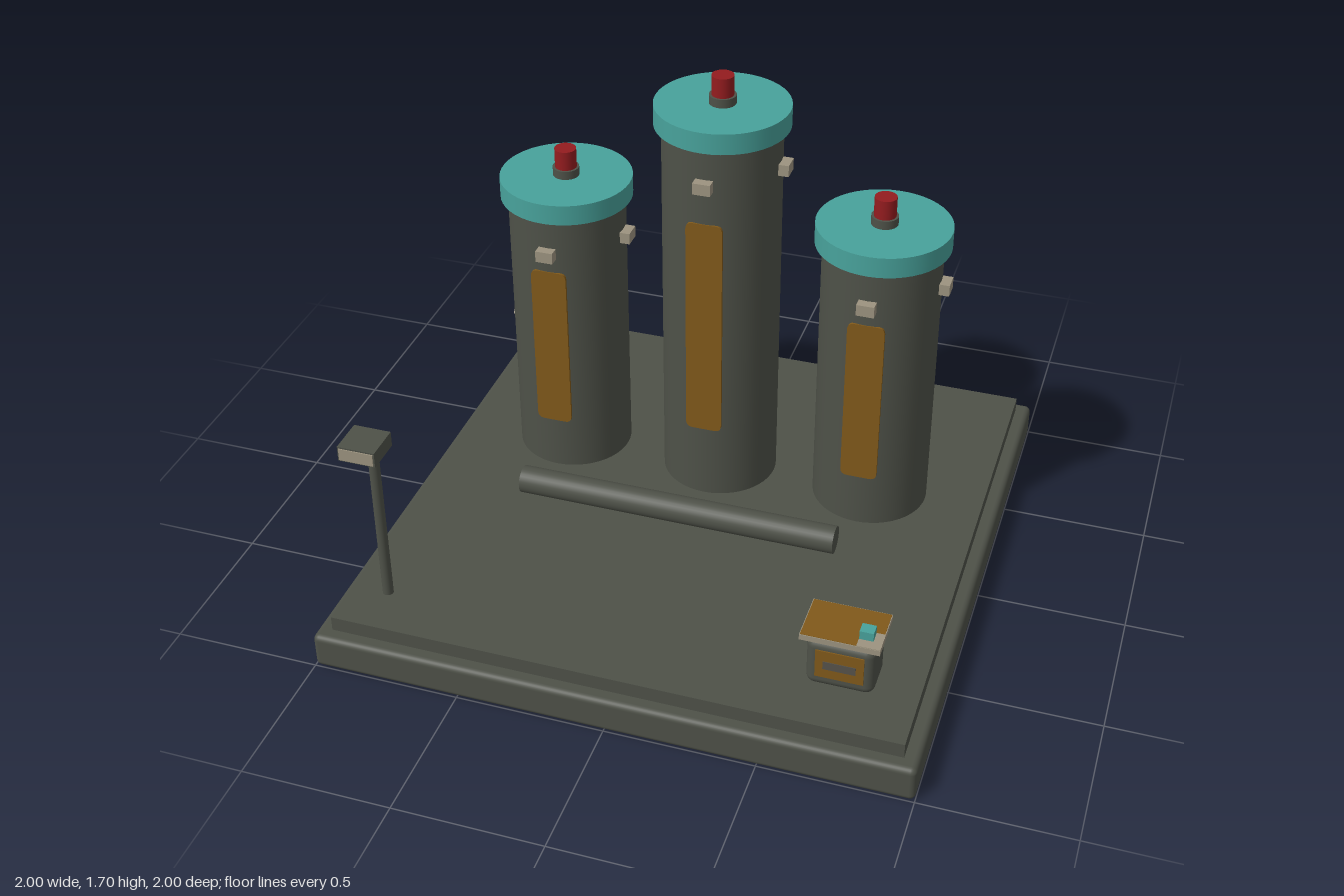
import * as THREE from 'three';
import { RoundedBoxGeometry } from 'three/addons/geometries/RoundedBoxGeometry.js';

const mat = (name, color) => new THREE.MeshStandardMaterial({ name, color });

export function createModel() {
  const grey = mat('dark grey', 0x4e5148);
  const teal = mat('teal', 0x48a29b);
  const red = mat('red', 0x941c1f);
  const gold = mat('ochre', 0x80591a);
  const beige = mat('beige', 0x9c937f);
  const slotGrey = mat('slot grey', 0x56524a);

  const model = new THREE.Group();
  model.name = 'towerStation';

  const add = (parent, name, geometry, material, x, y, z) => {
    const mesh = new THREE.Mesh(geometry, material);
    mesh.name = name;
    mesh.position.set(x, y, z);
    parent.add(mesh);
    return mesh;
  };
  const box = (w, h, d) => new THREE.BoxGeometry(w, h, d);
  const cyl = (r, h, n = 48) => new THREE.CylinderGeometry(r, r, h, n);

  // Thin upright plate with rounded corners, centred in x and y
  const roundedPlate = (w, h, r, depth) => {
    const a = w / 2, b = h / 2;
    const s = new THREE.Shape();
    s.moveTo(-a + r, -b);
    s.lineTo(a - r, -b).quadraticCurveTo(a, -b, a, -b + r);
    s.lineTo(a, b - r).quadraticCurveTo(a, b, a - r, b);
    s.lineTo(-a + r, b).quadraticCurveTo(-a, b, -a, b - r);
    s.lineTo(-a, -b + r).quadraticCurveTo(-a, -b, -a + r, -b);
    return new THREE.ExtrudeGeometry(s, { depth, bevelEnabled: false, curveSegments: 6 });
  };

  // Two-step base
  add(model, 'base', new RoundedBoxGeometry(2, 0.125, 2, 3, 0.02), grey, 0, 0.0625, 0);
  add(model, 'baseDeck', box(1.9, 0.06, 1.9), grey, 0, 0.147, 0);

  // Towers with cap, beacon, window strip and lamps
  const floor = 0.175;
  const makeTower = (name, x, bodyTop, windowBottom, windowTop) => {
    const tower = new THREE.Group();
    tower.name = name;
    tower.position.set(x, 0, -0.25);
    add(tower, 'towerBody', cyl(0.2, bodyTop - floor), grey, 0, (bodyTop + floor) / 2, 0);
    add(tower, 'towerCap', cyl(0.225, 0.072), teal, 0, bodyTop + 0.036, 0);
    add(tower, 'beaconBase', cyl(0.045, 0.03, 24), grey, 0, bodyTop + 0.087, 0);
    add(tower, 'beacon', cyl(0.037, 0.07, 24), red, 0, bodyTop + 0.135, 0);
    add(tower, 'windowStrip', roundedPlate(0.125, windowTop - windowBottom, 0.025, 0.0095),
      gold, 0, (windowBottom + windowTop) / 2, 0.193);
    add(tower, 'frontLamp', box(0.06, 0.04, 0.045), beige, 0, bodyTop - 0.127, 0.21);
    add(tower, 'sideLamp', box(0.045, 0.04, 0.06), beige, 0.21, bodyTop - 0.127, 0);
    model.add(tower);
    return tower;
  };
  const rightTower = makeTower('rightTower', -0.55, 1.18, 0.37, 0.98);
  makeTower('middleTower', 0, 1.53, 0.45, 1.26);
  makeTower('leftTower', 0.55, 1.18, 0.37, 0.98);

  // Small tilted plate on the outer wall of one tower
  const tag = add(rightTower, 'wallTag', box(0.02, 0.04, 0.09), beige, -0.191, 0.68, 0);
  tag.rotation.x = -0.5;

  // Horizontal pipe
  const pipe = add(model, 'pipe', cyl(0.047, 1.1, 32), grey, 0, 0.328, 0.252);
  pipe.rotation.z = Math.PI / 2;

  // Control box with lid, front panel and button
  const control = new THREE.Group();
  control.name = 'controlBox';
  control.position.set(0.7, 0, 0.705);
  model.add(control);
  add(control, 'controlBody', new RoundedBoxGeometry(0.22, 0.18, 0.15, 3, 0.03), grey, 0, 0.265, 0);
  add(control, 'controlLid', box(0.255, 0.02, 0.175), beige, -0.003, 0.365, -0.007);
  add(control, 'lidPanel', box(0.25, 0.002, 0.17), gold, -0.003, 0.3755, -0.007);
  add(control, 'buttonPlate', box(0.075, 0.002, 0.075), beige, 0.087, 0.3765, 0.042);
  add(control, 'button', box(0.045, 0.032, 0.04), teal, 0.073, 0.392, 0.027);
  add(control, 'frontPanel', box(0.155, 0.105, 0.006), gold, 0, 0.272, 0.076);
  add(control, 'panelSlot', box(0.105, 0.03, 0.004), slotGrey, 0, 0.27, 0.079);

  // Lamp post with forward-facing head
  add(model, 'lampPost', cyl(0.018, 0.64, 20), grey, -0.827, 0.49, 0.777);
  add(model, 'lampHead', box(0.125, 0.052, 0.122), grey, -0.827, 0.804, 0.824);
  add(model, 'lampLens', box(0.115, 0.042, 0.005), beige, -0.827, 0.804, 0.886);

  return model;
}
